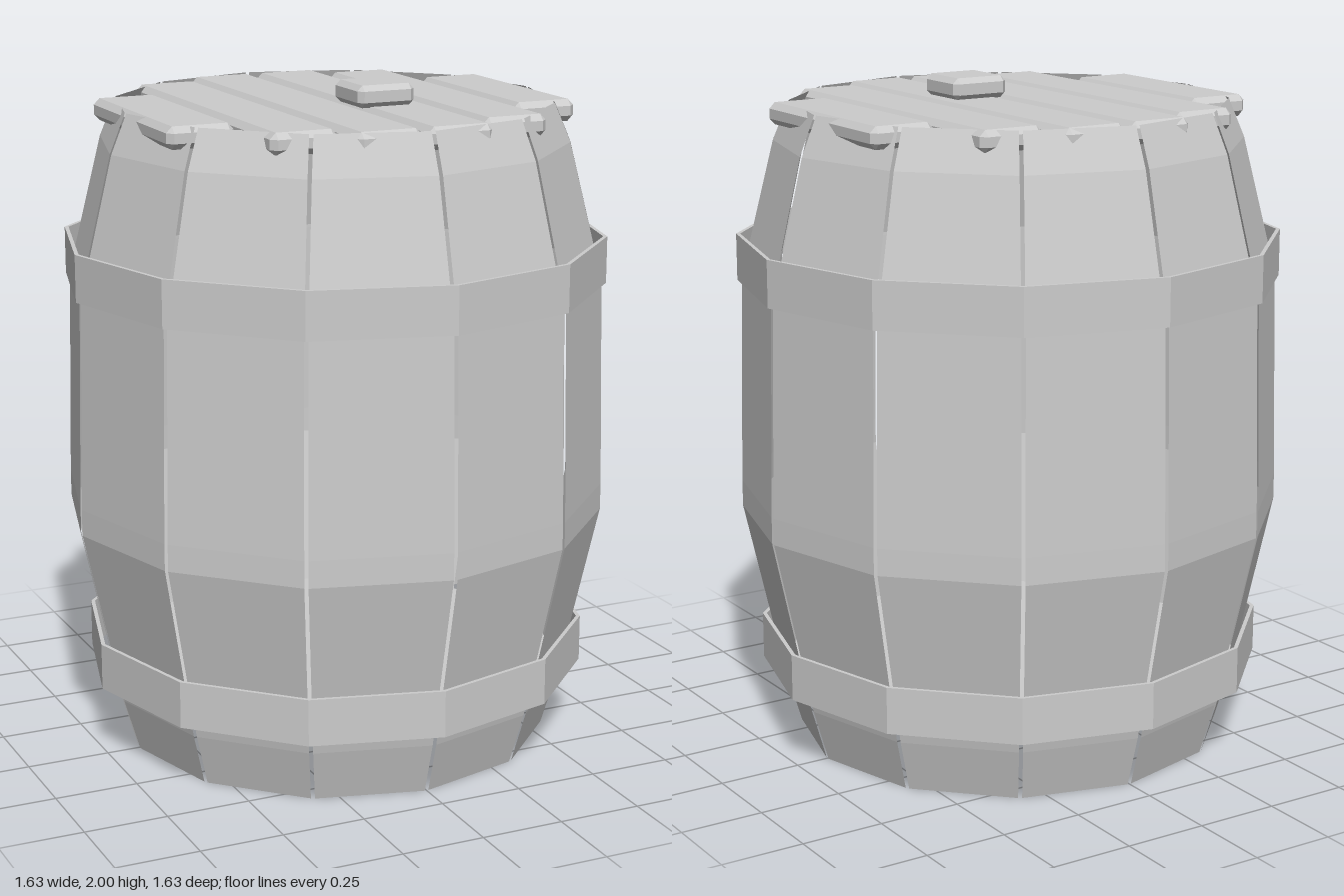
import * as THREE from 'three';
import { ConvexGeometry } from 'three/addons/geometries/ConvexGeometry.js';

const SIDES = 12;
const HALF = Math.PI / SIDES;
const GAP = 0.006; // half of the slit between staves

// stave outline from top to bottom: [radius, height]
const PROFILE = [
  [0.65, 1.935], [0.698, 1.82], [0.8, 1.41], [0.815, 0.78],
  [0.815, 0.7], [0.697, 0.16], [0.65, 0],
];

const wood = new THREE.MeshStandardMaterial({ color: 0xcccccc, side: THREE.DoubleSide });
wood.name = 'pale grey wood';

function flat(geometry) {
  const g = geometry.index ? geometry.toNonIndexed() : geometry;
  g.computeVertexNormals();
  return g;
}

function addMesh(parent, name, geometry) {
  const mesh = new THREE.Mesh(geometry, wood);
  mesh.name = name;
  parent.add(mesh);
  return mesh;
}

// one bent board, facing +z
function staveGeometry() {
  const g = new THREE.PlaneGeometry(1, 1, 1, PROFILE.length - 1);
  const p = g.attributes.position;
  PROFILE.forEach(([r, y], row) => {
    const w = r * Math.sin(HALF) - GAP;
    p.setXYZ(row * 2, -w, y, r * Math.cos(HALF));
    p.setXYZ(row * 2 + 1, w, y, r * Math.cos(HALF));
  });
  return flat(g);
}

// thin straight band
function hoopGeometry(radius, y0, y1) {
  const inner = radius - 0.012;
  const points = [[radius, y0], [radius, y1], [inner, y1], [inner, y0], [radius, y0]]
    .map(([x, y]) => new THREE.Vector2(x, y));
  return flat(new THREE.LatheGeometry(points, SIDES));
}

// box with all edges and corners chamfered
function chamferBox(w, h, d, c) {
  const points = [];
  for (const x of [-1, 1]) for (const y of [-1, 1]) for (const z of [-1, 1]) {
    for (let axis = 0; axis < 3; axis++) {
      const inset = [c, c, c];
      inset[axis] = 0;
      points.push(new THREE.Vector3(
        x * (w / 2 - inset[0]), y * (h / 2 - inset[1]), z * (d / 2 - inset[2])));
    }
  }
  return new ConvexGeometry(points);
}

export function createModel() {
  const barrel = new THREE.Group();
  barrel.name = 'barrel';

  // body boards
  const staves = new THREE.Group();
  staves.name = 'staves';
  barrel.add(staves);
  const stave = staveGeometry();
  for (let i = 0; i < SIDES; i++) {
    addMesh(staves, 'stave', stave).rotation.y = (2 * i + 1) * HALF;
  }

  // bands
  addMesh(barrel, 'upperHoop', hoopGeometry(0.812, 1.4, 1.54));
  addMesh(barrel, 'lowerHoop', hoopGeometry(0.762, 0.21, 0.35));

  // recessed floor
  const floor = new THREE.CircleGeometry(0.705, SIDES);
  floor.rotateX(-Math.PI / 2);
  addMesh(barrel, 'floor', floor).position.y = 0.21;

  // lid planks, mirrored: [centre x, length]
  const lid = new THREE.Group();
  lid.name = 'lid';
  barrel.add(lid);
  for (const [x, length] of [[0.11, 1.23], [0.325, 1.06], [0.54, 0.625]]) {
    for (const side of [-1, 1]) {
      addMesh(lid, 'lidPlank', chamferBox(0.2, 0.065, length, 0.018))
        .position.set(side * x, 1.905, 0);
    }
  }

  // lid handle
  addMesh(lid, 'knob', chamferBox(0.18, 0.065, 0.18, 0.016)).position.set(0.075, 1.9675, 0.122);

  return barrel;
}
